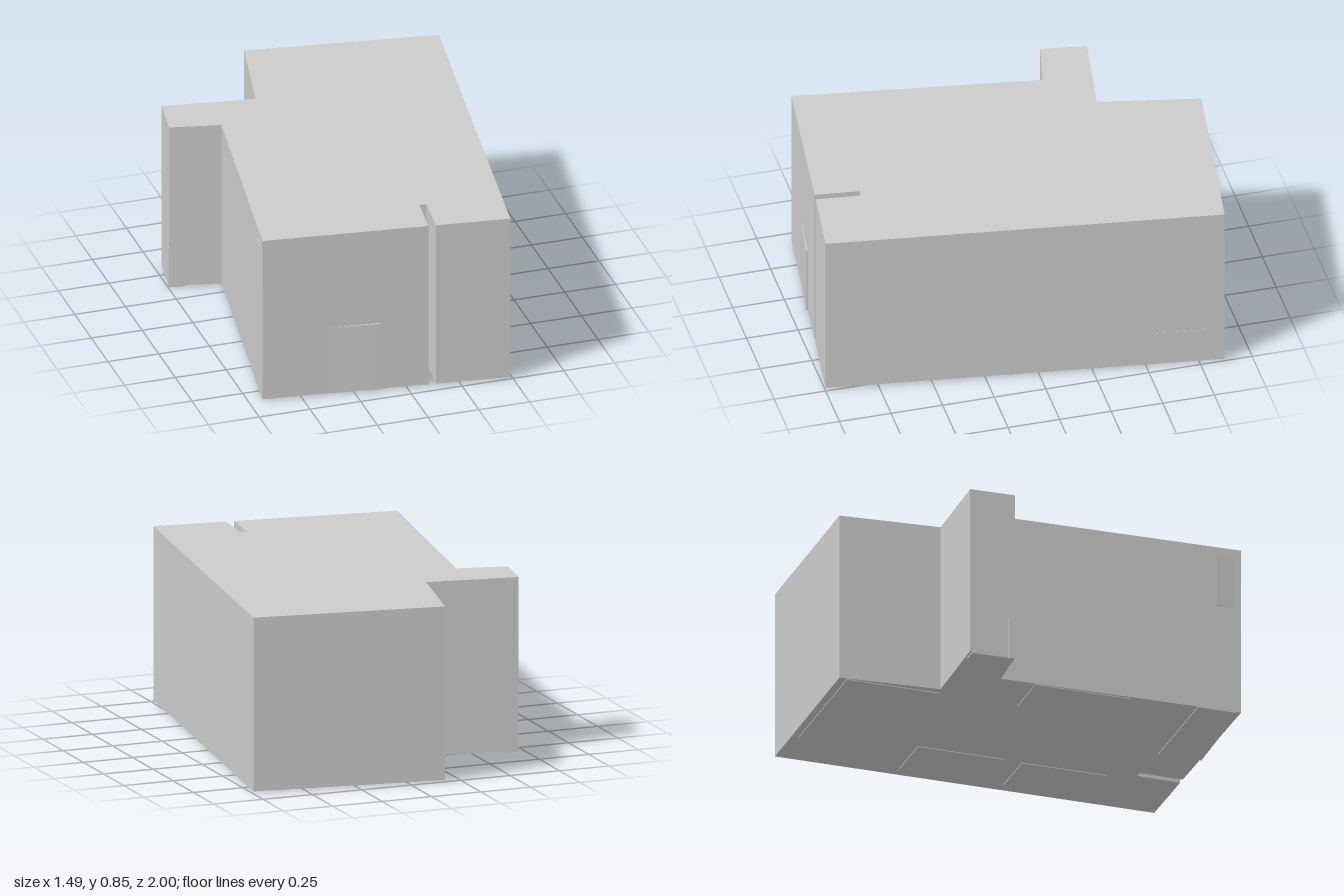
import * as THREE from 'three';

const material = new THREE.MeshStandardMaterial({ color: 0xcccccc, flatShading: true });

// Vertical prism over a plan outline of [x, z] corners
function prism(name, outline, y0, y1) {
  const shape = new THREE.Shape(outline.map(([x, z]) => new THREE.Vector2(x, -z)));
  const geometry = new THREE.ExtrudeGeometry(shape, { depth: y1 - y0, bevelEnabled: false });
  geometry.rotateX(-Math.PI / 2).translate(0, y0, 0);
  const mesh = new THREE.Mesh(geometry, material);
  mesh.name = name;
  return mesh;
}

export function createModel() {
  const model = new THREE.Group();
  model.name = 'building';
  const base = 0.008, top = 0.845;

  // Main block with a side wing and a narrow slot in the front wall
  model.add(prism('mainBlock', [
    [-0.17, -1], [0.745, -0.868], [0.488, 0.997], [0.136, 0.952],
    [0.16, 0.738], [0.126, 0.733], [0.1, 0.947], [-0.685, 0.85],
    [-0.505, -0.32], [-0.745, -0.372], [-0.711, -0.59], [-0.272, -0.52],
  ], base, top));

  // Shallow panels that barely stand proud of the walls
  model.add(prism('frontPanel', [[-0.4, 0.885], [-0.13, 0.927], [-0.128, 0.915], [-0.39, 0.875]], base, 0.355));
  model.add(prism('leftPanel', [[-0.674, 0.73], [-0.68, 0.82], [-0.65, 0.75]], 0.545, 0.8));
  model.add(prism('rightPanel', [[0.7, -0.53], [0.736, -0.79], [0.72, -0.79], [0.685, -0.53]], 0.015, 0.185));
  model.add(prism('wingPanel', [[-0.748, -0.373], [-0.743, -0.405], [-0.7, -0.4], [-0.7, -0.364]], 0, 0.205));

  // Thin floor slabs, measured back and left from the front right corner
  const floor = new THREE.Group();
  floor.name = 'floorSlabs';
  floor.position.set(0.488, 0, 0.997);
  floor.rotation.y = -0.136;
  const slabs = [ // back from, back to, left from, left to
    [0.35, 0.77, 0.07, 0.32], [0.86, 1.29, 0.05, 0.33], [1.39, 1.85, 0.24, 0.92],
    [0.53, 1.0, 0.91, 1.16], [0.01, 0.2, 0.62, 1.18],
  ];
  slabs.forEach(([u0, u1, v0, v1], i) => {
    const slab = new THREE.Mesh(new THREE.BoxGeometry(v1 - v0, 0.006, u1 - u0), material);
    slab.name = `floorSlab${i + 1}`;
    slab.position.set(-(v0 + v1) / 2, 0.007, -(u0 + u1) / 2);
    floor.add(slab);
  });
  model.add(floor);

  // Slab under the end of the wing
  model.add(prism('wingSlab', [[-0.744, -0.374], [-0.712, -0.58], [-0.64, -0.57], [-0.67, -0.358]], 0.001, 0.012));
  return model;
}
